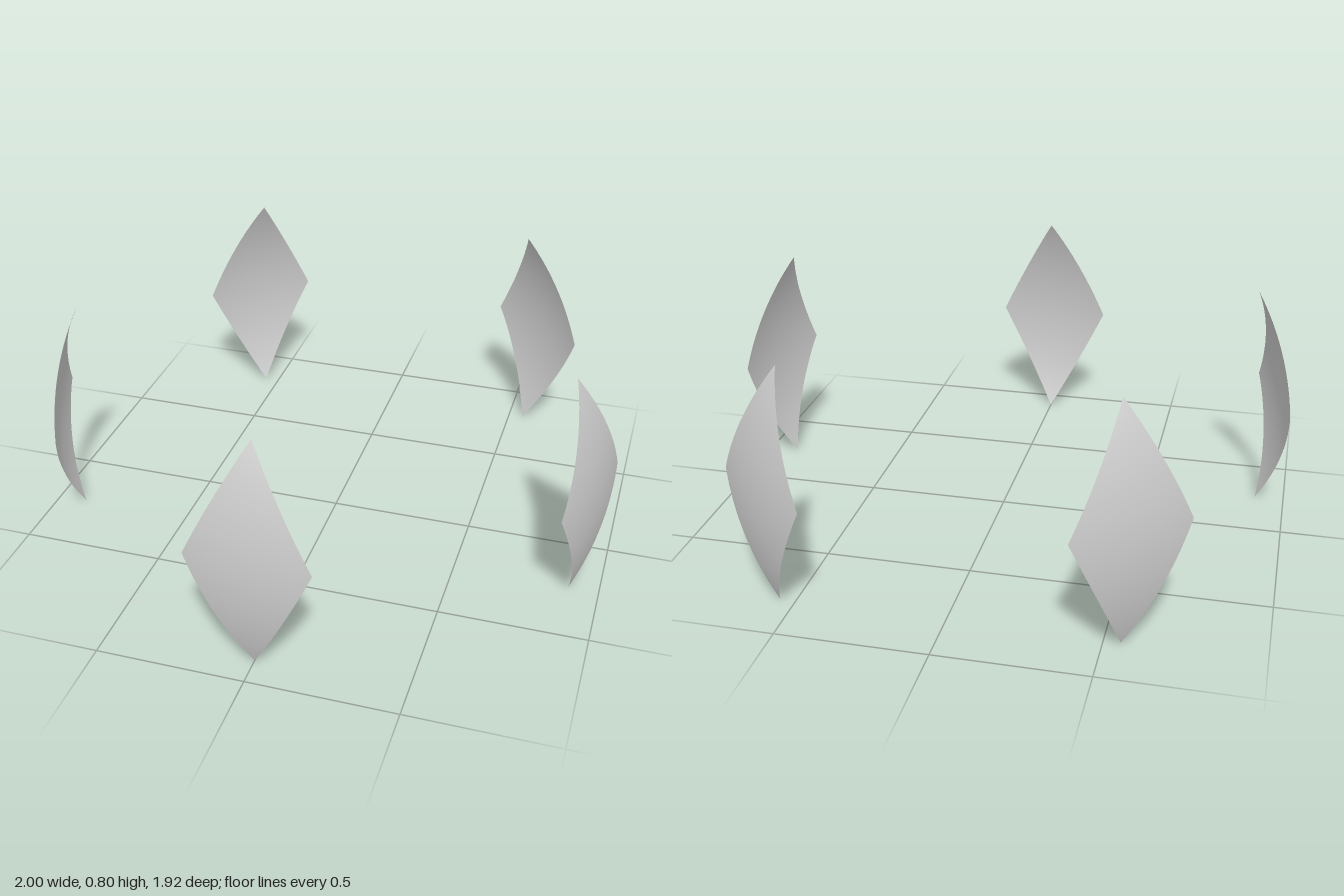
import * as THREE from 'three';

const R = 1.0056;                                   // radius of the sphere the panels lie on
const CENTRE = new THREE.Vector3(0, 0.351, -0.0436);

// Point on the sphere at height y above its centre, offset x sideways
const onSphere = (x, y) => new THREE.Vector3(x, y, Math.sqrt(R * R - x * x - y * y));

// Curved diamond: a square grid spread between four corners and pushed out to the sphere
function diamondGeometry() {
  const top = onSphere(0, 0.453), bottom = onSphere(0, -0.351);
  const left = onSphere(-0.207, 0.059), right = onSphere(0.207, 0.059);
  const geo = new THREE.PlaneGeometry(1, 1, 20, 20);
  const { position, normal } = geo.attributes;
  const a = new THREE.Vector3(), b = new THREE.Vector3();
  for (let i = 0; i < position.count; i++) {
    const u = position.getX(i) + 0.5, v = 0.5 - position.getY(i);
    a.lerpVectors(top, right, u);
    b.lerpVectors(left, bottom, u);
    a.lerp(b, v).normalize();
    normal.setXYZ(i, a.x, a.y, a.z);
    position.setXYZ(i, a.x * R, a.y * R, a.z * R);
  }
  return geo;
}

export function createModel() {
  const model = new THREE.Group();
  model.name = 'diamondPanelRing';
  const material = new THREE.MeshStandardMaterial({ color: 0xcccccc, side: THREE.DoubleSide });
  const geometry = diamondGeometry();

  // Five equal panels spaced around the vertical axis
  for (let i = 0; i < 5; i++) {
    const panel = new THREE.Mesh(geometry, material);
    panel.name = `diamondPanel${i + 1}`;
    panel.position.copy(CENTRE);
    panel.rotation.y = (i * Math.PI * 2) / 5;
    model.add(panel);
  }
  return model;
}
